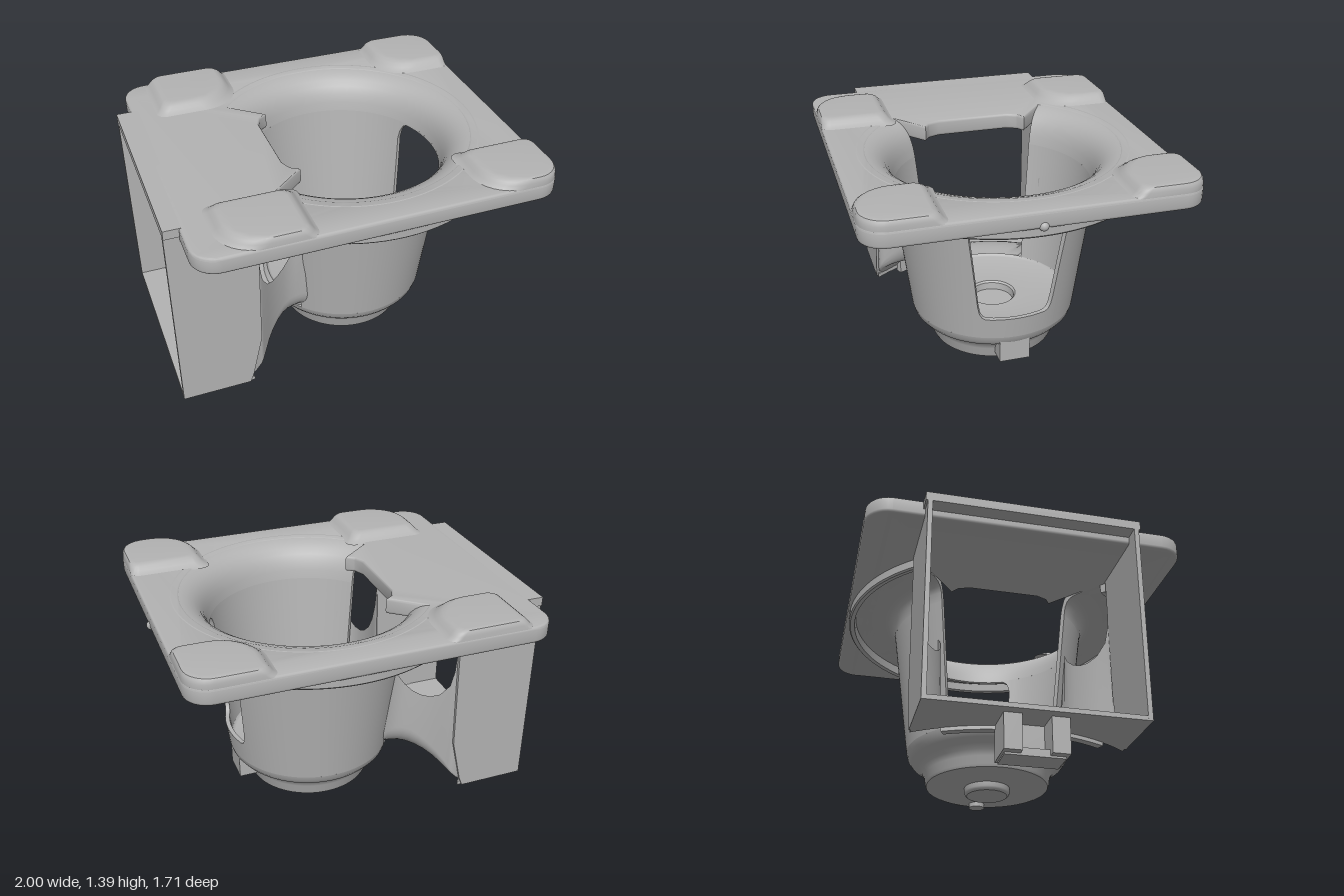
import * as THREE from 'three';
import { toCreasedNormals } from 'three/addons/utils/BufferGeometryUtils.js';

const CX = 0.125; // cup axis
const RAD = Math.PI / 180;
const lerp = THREE.MathUtils.lerp;

// Piecewise linear lookup in [[x, y], ...]
function lookup(table, x) {
  for (let i = 1; i < table.length; i++) {
    const [a, b] = [table[i - 1], table[i]];
    if (x <= b[0]) return lerp(a[1], b[1], Math.max(0, (x - a[0]) / (b[0] - a[0])));
  }
  return table[table.length - 1][1];
}

// Skin through rings of equal length; caps are the end rings as 2D contours
function loft(rings, closed, caps = []) {
  const n = rings[0].length, idx = [];
  for (let i = 0; i < rings.length - 1; i++) {
    for (let j = 0; j < (closed ? n : n - 1); j++) {
      const a = i * n + j, b = i * n + (j + 1) % n;
      idx.push(a, b, a + n, b, b + n, a + n);
    }
  }
  caps.forEach((contour, k) => {
    const base = k ? (rings.length - 1) * n : 0;
    const pts = contour.map(p => new THREE.Vector2(p[0], p[1]));
    for (const t of THREE.ShapeUtils.triangulateShape(pts, [])) {
      const [a, b, c] = k ? t : [t[0], t[2], t[1]];
      idx.push(base + a, base + b, base + c);
    }
  });
  const g = new THREE.BufferGeometry();
  g.setAttribute('position', new THREE.Float32BufferAttribute(rings.flat(2), 3));
  g.setIndex(idx);
  return toCreasedNormals(g, 0.6);
}

// Sweep an [r, y] section around the cup axis through the given angles
function sweep(section, angles) {
  const rings = angles.map(a => section(a).map(([r, y]) =>
    [CX + r * Math.cos(a * RAD), y, r * Math.sin(a * RAD)]));
  return loft(rings, true, [section(angles[0]), section(angles[angles.length - 1])]);
}

const range = (a, b, n) => Array.from({ length: n + 1 }, (_, i) => lerp(a, b, i / n));
const toPoints = pts => pts.map(p => new THREE.Vector2(p[0], p[1]));
const lathe = (pts, n) => toCreasedNormals(new THREE.LatheGeometry(toPoints(pts), n), 0.6);

// Rounded rectangle in x, z; radii start at (+x,+z), then (-x,+z), (-x,-z), (+x,-z)
function roundRect(x0, x1, z0, z1, radii) {
  const pts = [];
  radii.forEach((r, k) => {
    const sx = k === 0 || k === 3 ? 1 : -1, sz = k < 2 ? 1 : -1;
    const cx = sx > 0 ? x1 - r : x0 + r, cz = sz > 0 ? z1 - r : z0 + r;
    for (const a of range(k * 90, k * 90 + 90, 8)) {
      pts.push([cx + r * Math.cos(a * RAD), cz + r * Math.sin(a * RAD)]);
    }
  });
  return pts;
}

export function createModel() {
  const model = new THREE.Group();
  const grey = new THREE.MeshStandardMaterial({ color: 0xb3b3b3, side: THREE.DoubleSide });
  grey.name = 'grey plastic';
  const add = (name, geo, x = 0, y = 0, z = 0) => {
    const m = new THREE.Mesh(geo, grey);
    m.name = name;
    m.position.set(x, y, z);
    model.add(m);
  };
  const box = (name, x0, x1, y0, y1, z0, z1) => add(name,
    new THREE.BoxGeometry(x1 - x0, y1 - y0, z1 - z0), (x0 + x1) / 2, (y0 + y1) / 2, (z0 + z1) / 2);

  // Top plate with the cup opening; a flat tongue fills its left side
  const plate = new THREE.Shape(toPoints(roundRect(-0.92, 0.985, -0.855, 0.855, [0.13, 0.13, 0.13, 0.13])));
  const rim = range(-140, 140, 72).map(a => [CX + 0.68 * Math.cos(a * RAD), 0.68 * Math.sin(a * RAD)]);
  rim.push([-0.22, 0.29], [-0.265, 0.26], [-0.29, 0.2], [-0.29, -0.2], [-0.265, -0.26], [-0.22, -0.29]);
  plate.holes.push(new THREE.Path(toPoints(rim)));
  const plateGeo = new THREE.ExtrudeGeometry(plate, {
    depth: 0.06, bevelThickness: 0.015, bevelSize: 0.012, bevelOffset: -0.012, bevelSegments: 3,
  });
  plateGeo.rotateX(Math.PI / 2);
  add('topPlate', toCreasedNormals(plateGeo, 0.6), 0, 1.325, 0);

  // Raised corner pads: [x0, x1, side of z, index of the large-radius corner]
  for (const [x0, x1, s, big] of [[-0.8, -0.3, -1, 0], [-0.8, -0.3, 1, 1], [0.54, 0.983, -1, 1], [0.54, 0.983, 1, 1]]) {
    const right = x1 > 0.9;
    // [height, inset of the sloping sides, inset of the outer sides]
    const levels = [[1.335, 0, 0], [1.344, 0.02, 0], [1.36, 0.036, 0.001], [1.376, 0.05, 0.004],
      [1.386, 0.064, 0.01], [1.39, 0.08, 0.022]];
    const outlines = levels.map(([, slope, edge]) => {
      const zs = [s * (0.435 + slope), s * (0.853 - edge)].sort((a, b) => a - b);
      const radii = [0.05, 0.05, 0.05, 0.05];
      radii[big] = 0.2;
      if (right) radii[s > 0 ? 0 : 3] = 0.13;
      return roundRect(x0 + slope, x1 - (right ? edge : slope), zs[0], zs[1], radii);
    });
    const rings = outlines.map((o, i) => o.map(p => [p[0], levels[i][0], p[1]]));
    add('cornerPad', loft(rings, true, [outlines[0], outlines[outlines.length - 1]]));
  }

  // Funnel lip flaring into the plate, with a thin round skirt beneath
  const lip = [[0.56, 1.14], [0.568, 1.19], [0.583, 1.222], [0.61, 1.243], [0.65, 1.25], [0.805, 1.25],
    [0.81, 1.2], [0.835, 1.196], [0.843, 1.205], [0.845, 1.27], [0.73, 1.3403], [0.7, 1.339], [0.67, 1.334],
    [0.64, 1.323], [0.61, 1.304], [0.582, 1.275], [0.56, 1.236], [0.545, 1.19], [0.535, 1.14]];
  add('funnelAndSkirt', sweep(() => lip, range(-140, 140, 72)));

  // Cup wall, open on the left, with a window on the right
  const radius = y => lerp(0.465, 0.56, (y - 0.4) / 0.74);
  const wall = (lo, hi) => [[radius(lo), lo], [radius(hi), hi], [radius(hi) - 0.025, hi], [radius(lo) - 0.025, lo]];
  const sill = [[0, 0.525], [20, 0.525], [22.5, 0.535], [24.3, 0.56], [25.3, 0.61], [29, 1.03]];
  const head = [[0, 1.13], [24, 1.13], [26.5, 1.115], [28.2, 1.08], [29, 1.03]];
  const half = [0, 5, 10, 15, 20, 21.5, 22.5, 23.5, 24.3, 25.3, 26.5, 27.4, 28.2, 29];
  const windowAngles = [...half.slice(1).reverse().map(a => -a), ...half];
  add('cupWallBelowWindow', sweep(a => wall(0.4, lookup(sill, Math.abs(a))), windowAngles));
  add('cupWallAboveWindow', sweep(a => wall(lookup(head, Math.abs(a)), 1.14), windowAngles));
  for (const s of [1, -1]) {
    add('cupSideWall', sweep(() => wall(0.4, 1.14), range(29 * s, 140 * s, 32)));
  }

  // Cup base, with a recess in its floor
  const base = [[0, 0.195], [0.33, 0.195], [0.346, 0.2], [0.353, 0.215], [0.36, 0.26], [0.375, 0.292], [0.4, 0.318],
    [0.435, 0.34], [0.455, 0.366], [0.465, 0.4], [0.445, 0.425], [0.438, 0.415], [0.428, 0.41],
    [0.135, 0.41], [0.125, 0.4], [0.12, 0.36], [0, 0.36]];
  add('cupBase', lathe(base, 72), CX);
  add('bottomBoss', lathe([[0, 0.15], [0.115, 0.15], [0.125, 0.158], [0.13, 0.17], [0.13, 0.21]], 40), CX);
  add('bottomPeg', new THREE.CylinderGeometry(0.045, 0.045, 0.05, 24), 0.405, 0.195, 0);
  box('cupTab', 0.46, 0.573, 0.238, 0.375, -0.085, 0.085);
  add('edgeKnob', new THREE.SphereGeometry(0.025, 20, 14), 0.975, 1.26, 0);

  // Side box, open at its outer end
  const side = new THREE.Shape(toPoints(
    [[-0.995, 0.195], [-0.62, 0.195], [-0.6, 0.25], [-0.545, 0.5], [-0.535, 1.29], [-1, 1.29]]));
  for (const z of [0.535, -0.56]) {
    add('boxSide', new THREE.ExtrudeGeometry(side, { depth: 0.025, bevelEnabled: false }), 0, 0, z);
  }
  box('boxRoof', -1, -0.88, 1.29, 1.34, -0.57, 0.57);

  // Box floor, its inner edge curved around the cup axis, with a lip under that edge
  const floorEdge = range(142.5, 217.5, 30).map(a => [CX + 0.905 * Math.cos(a * RAD), 0.905 * Math.sin(a * RAD)]);
  const floorShape = new THREE.Shape(toPoints([[-0.995, 0.551], ...floorEdge, [-0.995, -0.551]]));
  const floorGeo = new THREE.ExtrudeGeometry(floorShape, { depth: 0.025, bevelEnabled: false });
  floorGeo.rotateX(Math.PI / 2);
  add('boxFloor', toCreasedNormals(floorGeo, 0.6), 0, 0.22, 0);
  const floorLip = [[0.87, 0.175], [0.91, 0.175], [0.91, 0.215], [0.87, 0.285]];
  add('floorLip', sweep(() => floorLip, range(153, 207, 24)));

  // Foot: a cross wall with two prongs
  box('footWall', -0.81, -0.75, 0.01, 0.21, -0.162, 0.162);
  for (const s of [1, -1]) box('footProng', -0.94, -0.8, 0.01, 0.21, s * 0.117 - 0.045, s * 0.117 + 0.045);
  box('footSole', -0.9, -0.76, 0, 0.04, -0.15, 0.15);

  // Neck between box and cup: [x, half width, top, corner radius, outward lean at the top]
  const stations = [
    [-0.8, 0.54, 0.45, 0.03, 0], [-0.75, 0.54, 0.45, 0.03, 0], [-0.7, 0.54, 0.45, 0.03, 0],
    [-0.66, 0.54, 0.45, 0.03, 0], [-0.62, 0.545, 0.5, 0.03, 0], [-0.585, 0.548, 0.6, 0.03, 0],
    [-0.545, 0.545, 1.25, 0.04, 0], [-0.53, 0.535, 0.96, 0.05, 0], [-0.515, 0.52, 0.865, 0.06, 0],
    [-0.48, 0.48, 0.795, 0.08, 0], [-0.44, 0.44, 0.768, 0.1, 0], [-0.4, 0.408, 0.77, 0.12, 0],
    [-0.36, 0.382, 0.79, 0.14, 0], [-0.32, 0.362, 0.83, 0.15, 0], [-0.28, 0.35, 0.89, 0.15, 0.01],
    [-0.24, 0.343, 0.93, 0.15, 0.03], [-0.2, 0.343, 0.95, 0.15, 0.045]];
  // Its floor rises toward the cup axis; its end hugs the cup wall
  const floorHeight = [[0.46, 0.395], [0.6, 0.392], [0.66, 0.382], [0.72, 0.362], [0.78, 0.335],
    [0.84, 0.295], [0.88, 0.255], [0.91, 0.21]];
  const neckPoint = (x, z, rise) => {
    const rho = Math.hypot(x - CX, z);
    const y = lookup(floorHeight, rho) + rise;
    const push = Math.max(1, (radius(y) - 0.005) / rho);
    return [CX + (x - CX) * push, y, z * push];
  };
  const neck = stations.map(([x, w, top, r, lean]) => {
    const arc = range(0, 90, 10).map(a =>
      neckPoint(x, w - r + r * Math.cos(a * RAD), r - r * Math.sin(a * RAD)));
    const flat = range(1, 0, 10).slice(1).map(t => neckPoint(x, (w - r) * t, 0));
    const sideLine = [[x, top, w + lean], ...arc, ...flat];
    return [...sideLine, ...sideLine.slice(0, -1).map(p => [p[0], p[1], -p[2]]).reverse()];
  });
  add('neck', loft(neck, false));

  return model;
}
